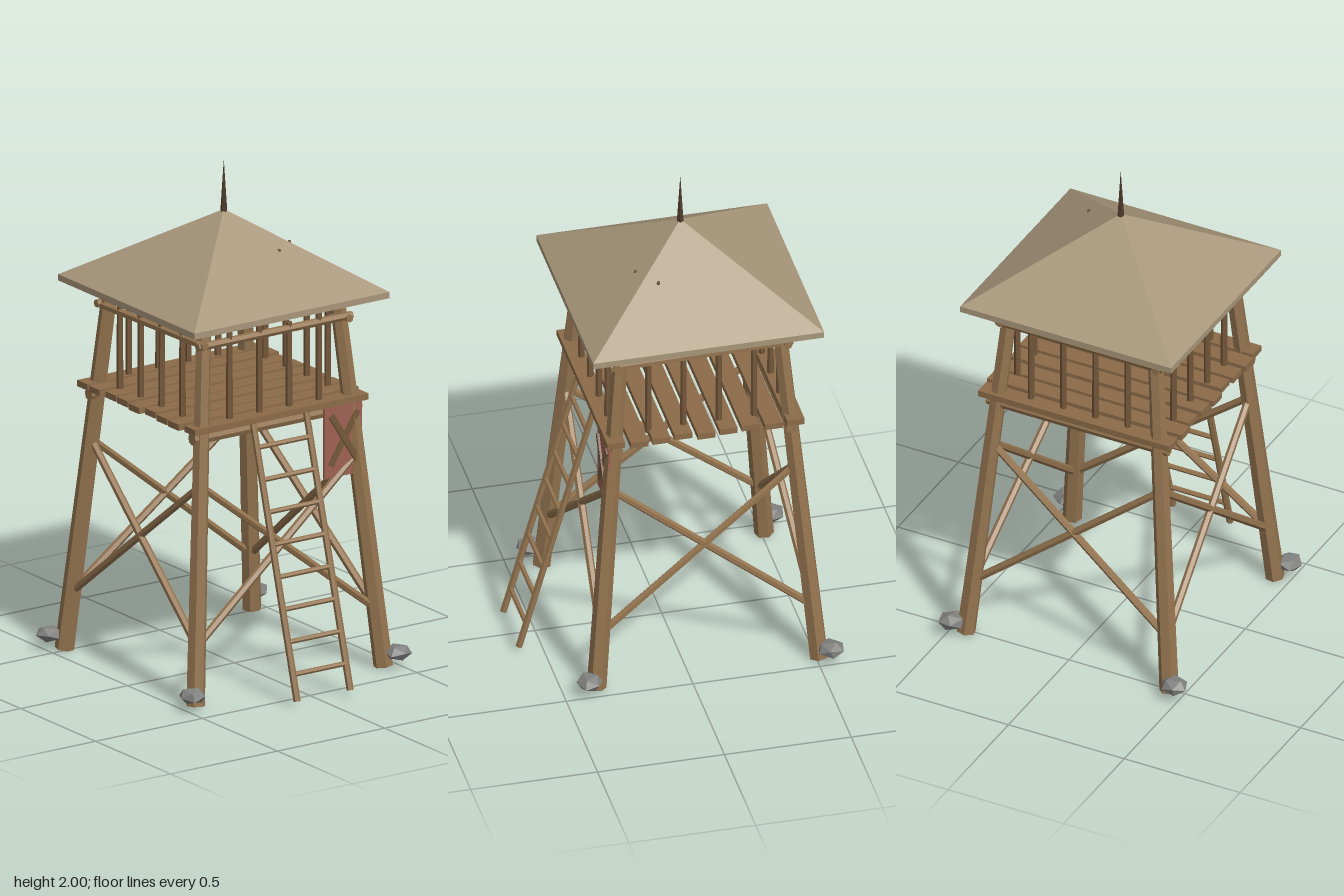
import * as THREE from 'three';

const CZ = -0.073; // tower axis, the ladder reaches forward of it

function mat(name, color) {
  const m = new THREE.MeshStandardMaterial({ color, flatShading: true });
  m.name = name;
  return m;
}

export function createModel() {
  const group = new THREE.Group();
  const wood = mat('wood', 0x94744f);
  const plankWood = mat('plank wood', 0x8b6b49);
  const darkWood = mat('dark wood', 0x75583b);
  const spireWood = mat('spire wood', 0x4e3a2a);
  const thatch = mat('roof thatch', 0xa8967a);
  const cloth = mat('red cloth', 0x9e6252);
  const stone = mat('stone', 0x80817f);

  const add = (name, geo, material, x = 0, y = 0, z = 0) => {
    const mesh = new THREE.Mesh(geo, material);
    mesh.name = name;
    mesh.position.set(x, y, z);
    group.add(mesh);
    return mesh;
  };
  // Faceted pole between two points
  const rod = (name, a, b, r0, r1, material, sides = 6, twist = 0) => {
    const p = new THREE.Vector3(...a), q = new THREE.Vector3(...b);
    const d = q.clone().sub(p);
    const geo = new THREE.CylinderGeometry(r1, r0, d.length(), sides);
    geo.rotateY(twist);
    const mesh = add(name, geo, material);
    mesh.position.copy(p).add(q).multiplyScalar(0.5);
    mesh.quaternion.setFromUnitVectors(new THREE.Vector3(0, 1, 0), d.normalize());
    return mesh;
  };
  const spread = (y) => 0.438 - 0.086 * y; // half distance between leg centres

  // Legs leaning inwards, each with a stone at its foot
  [[1, 1], [1, -1], [-1, 1], [-1, -1]].forEach(([sx, sz], i) => {
    const b = spread(0), t = spread(1.49);
    rod('leg', [sx * b, 0.006, CZ + sz * b], [sx * t, 1.49, CZ + sz * t],
      0.038, 0.03, wood, 6, sx * sz * Math.PI / 4);
    const rock = add('footStone', new THREE.IcosahedronGeometry(0.056, 0), stone,
      sx * 0.48, 0.063, CZ + sz * 0.476);
    rock.geometry.rotateX(0.4 + i).rotateZ(0.7 * i);
    rock.scale.set(1.02, 0.58, 0.95);
    rock.rotation.y = i * 0.9;
  });

  // Four sides: crossed braces, handrail and balusters
  const tops = [1.46, 1.465, 1.43, 1.46];
  for (let side = 0; side < 4; side++) {
    const c = Math.round(Math.cos(side * Math.PI / 2));
    const s = Math.round(Math.sin(side * Math.PI / 2));
    const at = (u, y, out) => [u * c + out * s, y, CZ - u * s + out * c];
    const lo = spread(0.235), hi = spread(0.855);
    for (const m of [-1, 1]) {
      rod('brace', at(-m * lo, 0.235, lo), at(m * hi, 0.855, hi), 0.016, 0.015, wood);
    }
    const tilt = side % 2 ? 0.006 : 0;
    rod('handrail', at(-0.36, 1.403 - tilt, 0.338), at(0.36, 1.403 + tilt, 0.338), 0.016, 0.016, wood);
    tops.forEach((top, i) => {
      const u = -0.21 + i * 0.139;
      rod('baluster', at(u, 1.08, 0.338), at(u, top, 0.338), 0.013, 0.012, darkWood);
    });
  }

  // Platform: two round beams under nine planks
  for (const z of [0.272, -0.418]) {
    rod('floorBeam', [-0.39, 1.042, z], [0.39, 1.042, z], 0.025, 0.025, wood, 8);
  }
  for (let i = 0; i < 9; i++) {
    const len = 0.825 + 0.015 * (i * 5 % 3 - 1);
    add('floorPlank', new THREE.BoxGeometry(len, 0.025, 0.07), plankWood,
      0, 1.08 + 0.002 * (i % 2), 0.279 - i * 0.0882);
  }

  // Leaning ladder
  const ladderZ = (y) => 0.592 - (y - 0.03) * 0.282;
  for (const x of [-0.124, 0.124]) {
    rod('ladderRail', [x, 0.025, ladderZ(0.025)], [x, 1.09, ladderZ(1.09)], 0.014, 0.013, wood);
  }
  for (let i = 0; i < 8; i++) {
    const y = 0.125 + i * 0.1213;
    rod('ladderRung', [-0.125, y, ladderZ(y)], [0.125, y, ladderZ(y)], 0.01, 0.01, wood);
  }

  // Hanging banner with two crossed slats
  add('banner', new THREE.BoxGeometry(0.175, 0.285, 0.009), cloth, 0.2935, 0.922, 0.299);
  for (const m of [-1, 1]) {
    const slat = add('bannerSlat', new THREE.BoxGeometry(0.025, 0.24, 0.009), darkWood,
      0.297, 0.93, 0.308 + m * 0.003);
    slat.rotation.z = m * 0.56;
  }

  // Pyramid roof over a thin square eave
  add('roofEave', new THREE.BoxGeometry(0.91, 0.025, 0.91), thatch, 0, 1.4955, CZ);
  const pyramid = new THREE.ConeGeometry(0.455 * Math.SQRT2, 0.298, 4);
  pyramid.rotateY(Math.PI / 4);
  add('roof', pyramid, thatch, 0, 1.657, CZ);

  // Spire and the two peg tips that poke through the roof
  rod('spire', [0, 1.78, CZ], [0, 2.0, CZ], 0.015, 0.0005, spireWood, 5);
  for (const [x, z] of [[0.21, 0.065], [0.115, 0.132]]) {
    rod('roofPeg', [x, 1.64, z], [x, 1.677, z], 0.01, 0.006, darkWood, 5);
  }
  return group;
}
